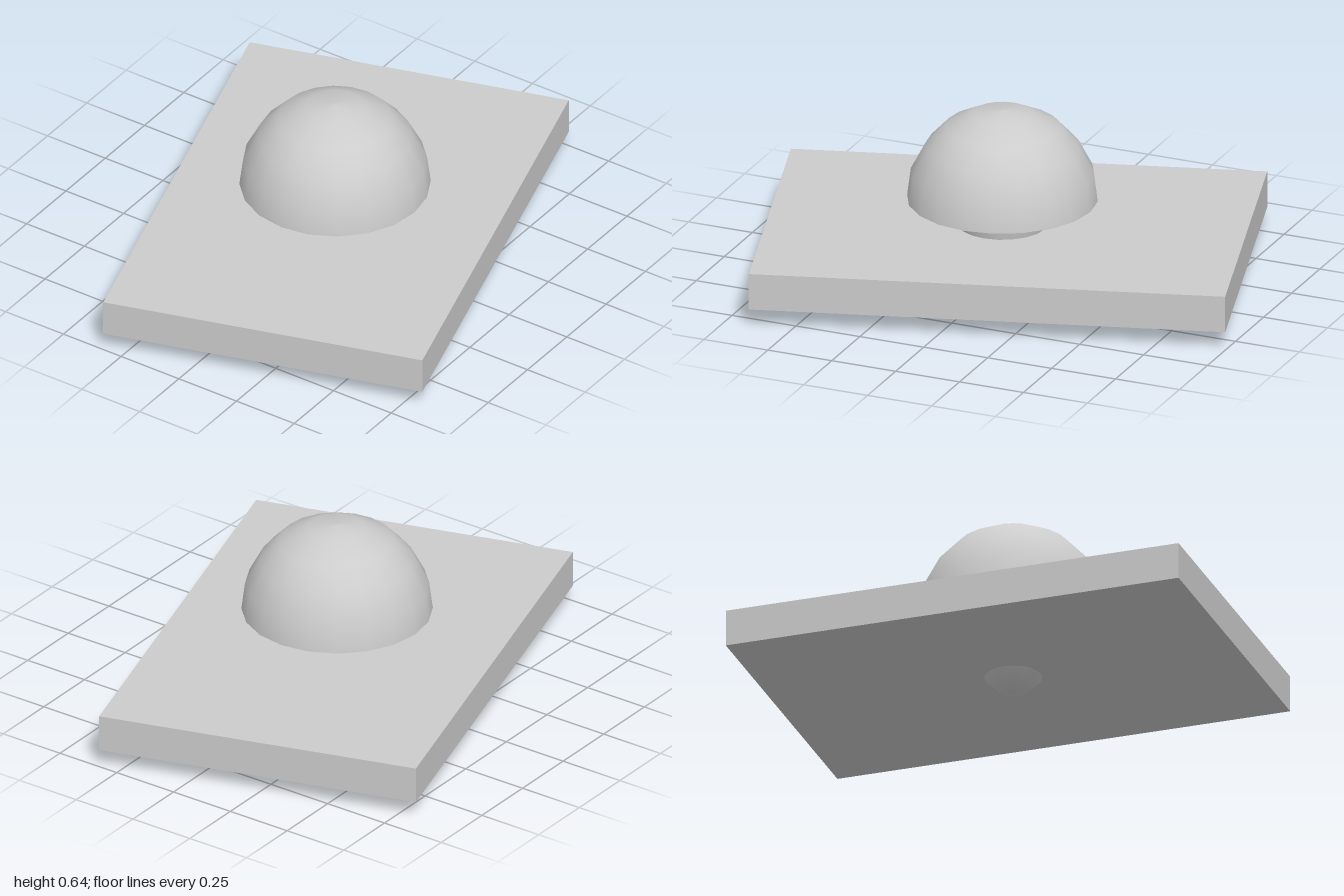
import * as THREE from 'three';

const material = new THREE.MeshStandardMaterial({ color: 0xcccccc });

// Revolve a profile of [radius, height] pairs, listed bottom to top
function revolve(name, profile) {
  const points = profile.map(([r, y]) => new THREE.Vector2(r, y));
  const mesh = new THREE.Mesh(new THREE.LatheGeometry(points, 20), material);
  mesh.name = name;
  return mesh;
}

export function createModel() {
  const model = new THREE.Group();
  model.name = 'mushroomOnSlab';

  // Rectangular slab, turned about the vertical
  const slab = new THREE.Mesh(new THREE.BoxGeometry(1.2, 0.137, 1.72), material);
  slab.name = 'slab';
  slab.position.y = 0.135;
  slab.rotation.y = 0.288;
  model.add(slab);

  // Mushroom passing through the slab, slightly off centre
  const mushroom = new THREE.Group();
  mushroom.name = 'mushroom';
  mushroom.position.set(0.008, 0, 0.018);
  mushroom.add(
    // Rounded stem tip below, stem through the slab, flared underside of the cap
    revolve('stem', [[0, 0.002], [0.055, 0.018], [0.104, 0.066], [0.145, 0.13], [0.163, 0.203], [0.172, 0.247]]),
    revolve('capUnderside', [[0.172, 0.247], [0.343, 0.3]]),
    revolve('cap', [[0.343, 0.3], [0.33, 0.402], [0.277, 0.503], [0.206, 0.578], [0.105, 0.629], [0, 0.641]])
  );
  model.add(mushroom);
  return model;
}
